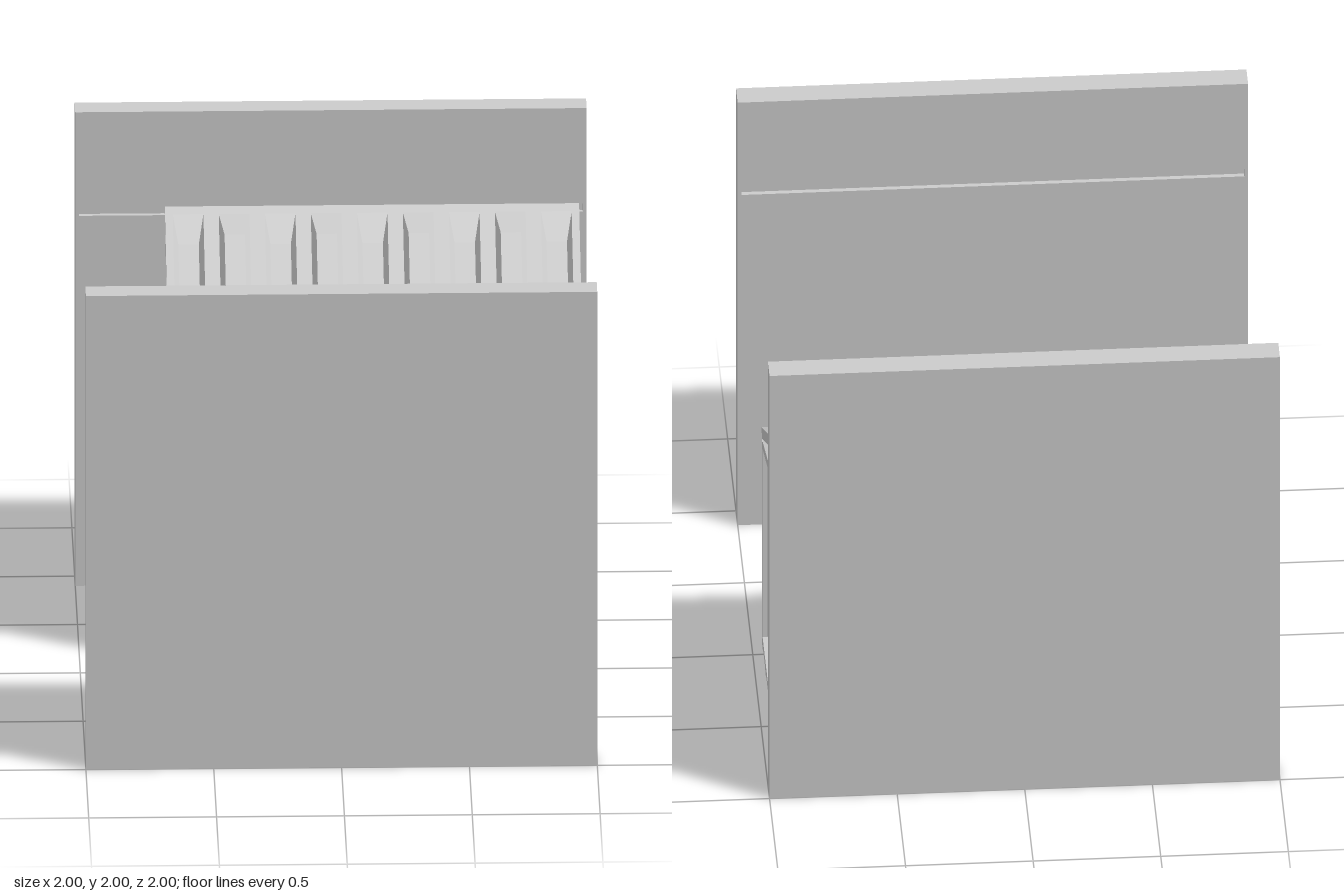
import * as THREE from 'three';

const grey = new THREE.MeshStandardMaterial({ color: 0xcccccc, flatShading: true });
const X0 = -0.65, X1 = 0.97, XC = 0.16, WIDTH = 1.62, ZC = -0.495;

function add(parent, name, geometry, x = 0, y = 0, z = 0) {
  const mesh = new THREE.Mesh(geometry, grey);
  mesh.name = name;
  mesh.position.set(x, y, z);
  parent.add(mesh);
  return mesh;
}
const box = (w, h, d) => new THREE.BoxGeometry(w, h, d);
const rect = (w, h, x = 0, y = 0) => [[x - w / 2, y - h / 2], [x + w / 2, y - h / 2], [x + w / 2, y + h / 2], [x - w / 2, y + h / 2]];
const points = (list) => list.map(([x, y]) => new THREE.Vector2(x, y));

// Flat plate cut from an outline with optional holes
function plate(outline, depth, holes = []) {
  const shape = new THREE.Shape(points(outline));
  holes.forEach((h) => shape.holes.push(new THREE.Path(points(h))));
  return new THREE.ExtrudeGeometry(shape, { depth, bevelEnabled: false });
}

// Sloping sides from one outline to a second one at height z, closed by a flat cap
function loft(base, cap, z) {
  const pos = [];
  const n = base.length;
  for (let i = 0; i < n; i++) {
    const j = (i + 1) % n;
    const a = [...base[i], 0], b = [...base[j], 0], c = [...cap[j], z], d = [...cap[i], z];
    pos.push(...a, ...b, ...c, ...a, ...c, ...d);
    if (i > 0 && i < n - 1) pos.push(...cap[0], z, ...cap[i], z, ...cap[i + 1], z);
  }
  const g = new THREE.BufferGeometry();
  g.setAttribute('position', new THREE.Float32BufferAttribute(pos, 3));
  g.computeVertexNormals();
  return g;
}

// Panel facing +z (face at z = 0) with alternating pressed-in and raised ribs
function ribbedPanel(name, o) {
  const group = new THREE.Group();
  group.name = name;
  const holes = [];
  for (let i = 0; i < o.count; i++) {
    const x = (i - (o.count - 1) / 2) * o.spacing;
    const base = rect(o.ribWidth, o.ribLength, x);
    const cap = rect(o.ribWidth - 2 * o.inset, o.ribLength - 2 * o.ramp, x);
    const raised = i % 2 === 1;
    if (!raised) holes.push(base);
    add(group, raised ? 'raisedRib' : 'pressedRib', loft(base, cap, raised ? o.rise : 0.001 - o.depth));
  }
  add(group, 'panelFace', plate(rect(WIDTH, o.height), o.depth, holes), 0, 0, -o.depth);
  if (o.backing) add(group, 'panelBacking', box(WIDTH, o.height, o.backing), 0, 0, -o.depth - o.backing / 2);
  return group;
}

// Gabled five-sided outline: x runs towards the back
const gable = (x0, x1, y0, eaves, peak) => [[x0, y0], [x1, y0], [x1, eaves], [0, peak], [x0, eaves]];

// Square wall with a long slot in its inner face
function wall(name, side) {
  const group = new THREE.Group();
  group.name = name;
  add(group, 'wallSlab', box(2, 2, 0.08), 0, 1, side * 0.96);
  const slot = rect(1.97, 0.035, 0, 0.58);
  add(group, 'slottedFace', plate(rect(2, 2), 0.02, [slot]), 0, 1, side > 0 ? 0.9 : -0.92);
  return group;
}

export function createModel() {
  const model = new THREE.Group();
  model.name = 'containerBetweenWalls';
  model.add(wall('frontWall', 1), wall('backWall', -1));

  // Body: solid core, hollowed end blocks and a stepped rim at each end
  const body = new THREE.Group();
  body.name = 'body';
  model.add(body);
  const outline = gable(-0.385, 0.405, 0.13, 1.08, 1.24);
  outline[4][1] = 1.088;
  const rim = gable(-0.367, 0.367, 0.17, 1.06, 1.2);
  const mouth = gable(-0.315, 0.315, 0.22, 1.02, 1.14);
  const floor = gable(-0.235, 0.235, 0.35, 0.945, 1.01);
  const slice = (name, x, depth, holes) => add(body, name, plate(outline, depth, holes).rotateY(Math.PI / 2), x, 0, ZC);
  const STEP = 0.02, DEEP = 0.08, END = STEP + DEEP;
  slice('core', X0 + END, WIDTH - 2 * END);
  for (const s of [-1, 1]) {
    const end = s > 0 ? X1 : X0;
    slice('endRim', s > 0 ? end - STEP : end, STEP, [rim]);
    slice('endBlock', s > 0 ? end - END : end + STEP, DEEP, [mouth]);
    const recess = add(body, 'endRecess', loft(mouth, floor, 0.001 - DEEP), end - s * STEP, 0, ZC);
    recess.rotation.y = s * Math.PI / 2;
  }

  // Ribbed front skin
  const front = ribbedPanel('frontPanel', {
    count: 7, spacing: 0.233, ribWidth: 0.2, ribLength: 0.93, inset: 0.015,
    ramp: 0.11, rise: 0.02, depth: 0.02, height: 0.95,
  });
  front.position.set(XC, 0.605, -0.09);
  body.add(front);

  // Runners under the floor
  for (let i = 0; i < 5; i++) {
    const runner = loft(rect(WIDTH, 0.055), rect(WIDTH, 0.042), 0.015);
    add(body, 'runner', runner.rotateX(Math.PI / 2), XC, 0.131, -0.13 - i * 0.18);
  }

  // Sloping ribbed lid, hinged high on the back wall
  const lid = ribbedPanel('lid', {
    count: 9, spacing: 0.18, ribWidth: 0.12, ribLength: 0.87, inset: 0.02,
    ramp: 0.125, rise: 0.032, depth: 0.032, backing: 0.013, height: 0.947,
  });
  lid.position.set(XC, 1.364, -0.472);
  lid.rotation.x = -1.03;
  model.add(lid);

  // Stepped backing board under the lid
  add(model, 'backBoard', box(WIDTH, 0.4, 0.03), XC, 1.33, -0.885);
  add(model, 'backBoardPad', box(WIDTH - 0.12, 0.28, 0.03), XC, 1.33, -0.855);
  return model;
}
